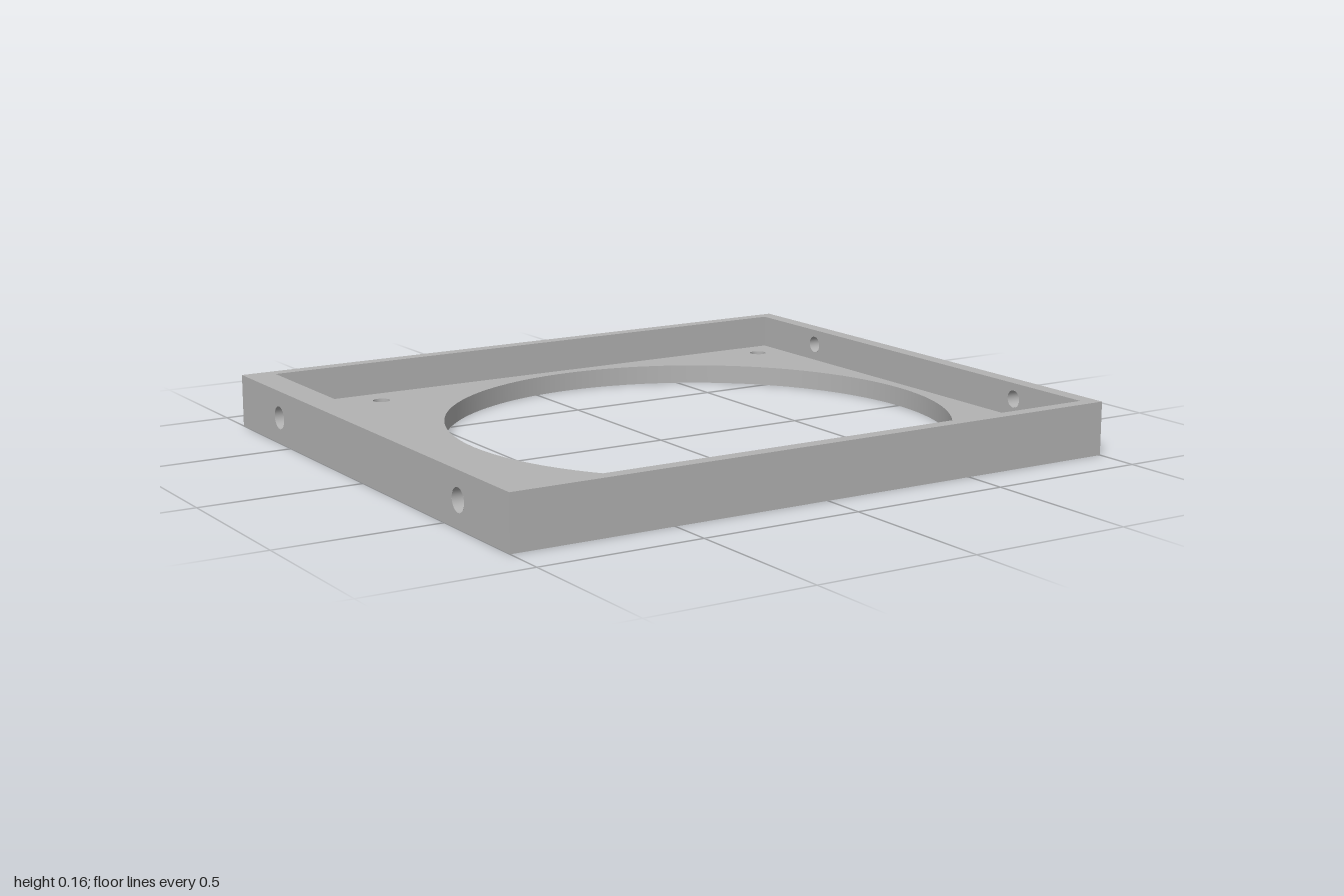
import * as THREE from 'three';
import { mergeGeometries } from 'three/addons/utils/BufferGeometryUtils.js';

const W = 1, D = 0.862, H = 0.163, FLOOR = 0.06;      // outer half sizes, height, floor level
const IL = -0.905, IR = 0.952, ID = 0.82;             // inner wall planes
const OPEN = { x: 0.135, z: 0, r: 0.778 };            // large opening
const LEFT = { z: 0.58, y: 0.08, r: 0.035 };          // side holes at -x
const RIGHT = { z: 0.52, y: 0.113, r: 0.027 };        // side holes at +x
const SEG = 48;

function rect(x0, y0, x1, y1) {
  return new THREE.Shape([[x0, y0], [x1, y0], [x1, y1], [x0, y1]].map(p => new THREE.Vector2(...p)));
}

function punch(shape, x, y, r) {
  shape.holes.push(new THREE.Path().absarc(x, y, r, 0, Math.PI * 2, true));
  return shape;
}

// flat face turned to look along an axis, then moved along that axis
const flat = s => new THREE.ShapeGeometry(s, SEG);
const up = (s, y) => flat(s).rotateX(-Math.PI / 2).translate(0, y, 0);
const down = (s, y) => flat(s).rotateX(Math.PI / 2).translate(0, y, 0);
const toRight = (s, x) => flat(s).rotateY(Math.PI / 2).translate(x, 0, 0);
const toLeft = (s, x) => flat(s).rotateY(-Math.PI / 2).translate(x, 0, 0);
const toFront = (s, z) => flat(s).translate(0, 0, z);
const toBack = (s, z) => flat(s).rotateY(Math.PI).translate(0, 0, z);

// bore lining along x
function boreX(x0, x1, y, z, r, start = 0, length = Math.PI * 2) {
  return new THREE.CylinderGeometry(r, r, x1 - x0, 32, 1, true, start, length)
    .rotateZ(Math.PI / 2).translate((x0 + x1) / 2, y, z);
}

// bore lining along y
function boreY(x, z, r, n) {
  return new THREE.CylinderGeometry(r, r, FLOOR, n, 1, true).translate(x, FLOOR / 2, z);
}

export function createModel() {
  const group = new THREE.Group();
  const grey = new THREE.MeshStandardMaterial({ color: 0xb3b3b3, side: THREE.DoubleSide });
  grey.name = 'grey';
  const add = (name, parts) => {
    const mesh = new THREE.Mesh(mergeGeometries(parts), grey);
    mesh.name = name;
    group.add(mesh);
  };

  const screws = [];
  for (const x of [-0.59, 0.857]) for (const z of [-0.722, 0.722]) screws.push({ x, z, r: 0.027 });
  const drilled = shape => {
    for (const h of [OPEN, ...screws]) punch(shape, h.x, h.z, h.r);
    return shape;
  };
  const sideDrilled = (shape, h) => punch(punch(shape, -h.z, h.y, h.r), h.z, h.y, h.r);

  // where the left bores dip below the floor
  const a = Math.asin((LEFT.y - FLOOR) / LEFT.r);
  const chord = LEFT.r * Math.cos(a);
  const notchEnd = -0.899;

  // floor outline with two shallow notches at the left bores
  const floor = new THREE.Shape();
  floor.moveTo(IL, -ID).lineTo(IR, -ID).lineTo(IR, ID).lineTo(IL, ID);
  for (const z of [LEFT.z, -LEFT.z]) {
    floor.lineTo(IL, z + chord).lineTo(notchEnd, z + chord);
    floor.lineTo(notchEnd, z - chord).lineTo(IL, z - chord);
  }
  add('basePlate', [up(drilled(floor), FLOOR), down(drilled(rect(-W, -D, W, D)), 0)]);
  add('openingEdge', [boreY(OPEN.x, OPEN.z, OPEN.r, 128)]);
  add('screwHoles', screws.map(h => boreY(h.x, h.z, h.r, 32)));

  // top of the surrounding rim
  const rim = rect(-W, -D, W, D);
  rim.holes.push(rect(IL, -ID, IR, ID));
  add('rimTop', [up(rim, H)]);

  // front and back walls
  add('frontWall', [toFront(rect(-W, 0, W, H), D), toBack(rect(-IR, FLOOR, -IL, H), ID)]);
  add('backWall', [toBack(rect(-W, 0, W, H), -D), toFront(rect(IL, FLOOR, IR, H), -ID)]);

  // side wall at +x with its bores
  add('leftWall', [
    toRight(sideDrilled(rect(-D, 0, D, H), RIGHT), W),
    toLeft(sideDrilled(rect(-ID, FLOOR, ID, H), RIGHT), IR),
    ...[-1, 1].map(s => boreX(IR, W, RIGHT.y, s * RIGHT.z, RIGHT.r)),
  ]);

  // side wall at -x, whose inner face is bitten by the lower bores
  const inner = new THREE.Shape();
  inner.moveTo(-ID, FLOOR);
  for (const z of [-LEFT.z, LEFT.z]) inner.absarc(z, LEFT.y, LEFT.r, Math.PI + a, -a, true);
  inner.lineTo(ID, FLOOR).lineTo(ID, H).lineTo(-ID, H);
  const parts = [toLeft(sideDrilled(rect(-D, 0, D, H), LEFT), -W), toRight(inner, IL)];
  for (const z of [-LEFT.z, LEFT.z]) {
    const end = new THREE.Shape().absarc(z, LEFT.y, LEFT.r, Math.PI + a, Math.PI * 2 - a, false);
    parts.push(
      boreX(-W, IL, LEFT.y, z, LEFT.r),
      boreX(IL, notchEnd, LEFT.y, z, LEFT.r, Math.PI + a, Math.PI - 2 * a),
      toLeft(end, notchEnd),
    );
  }
  add('rightWall', parts);
  return group;
}
